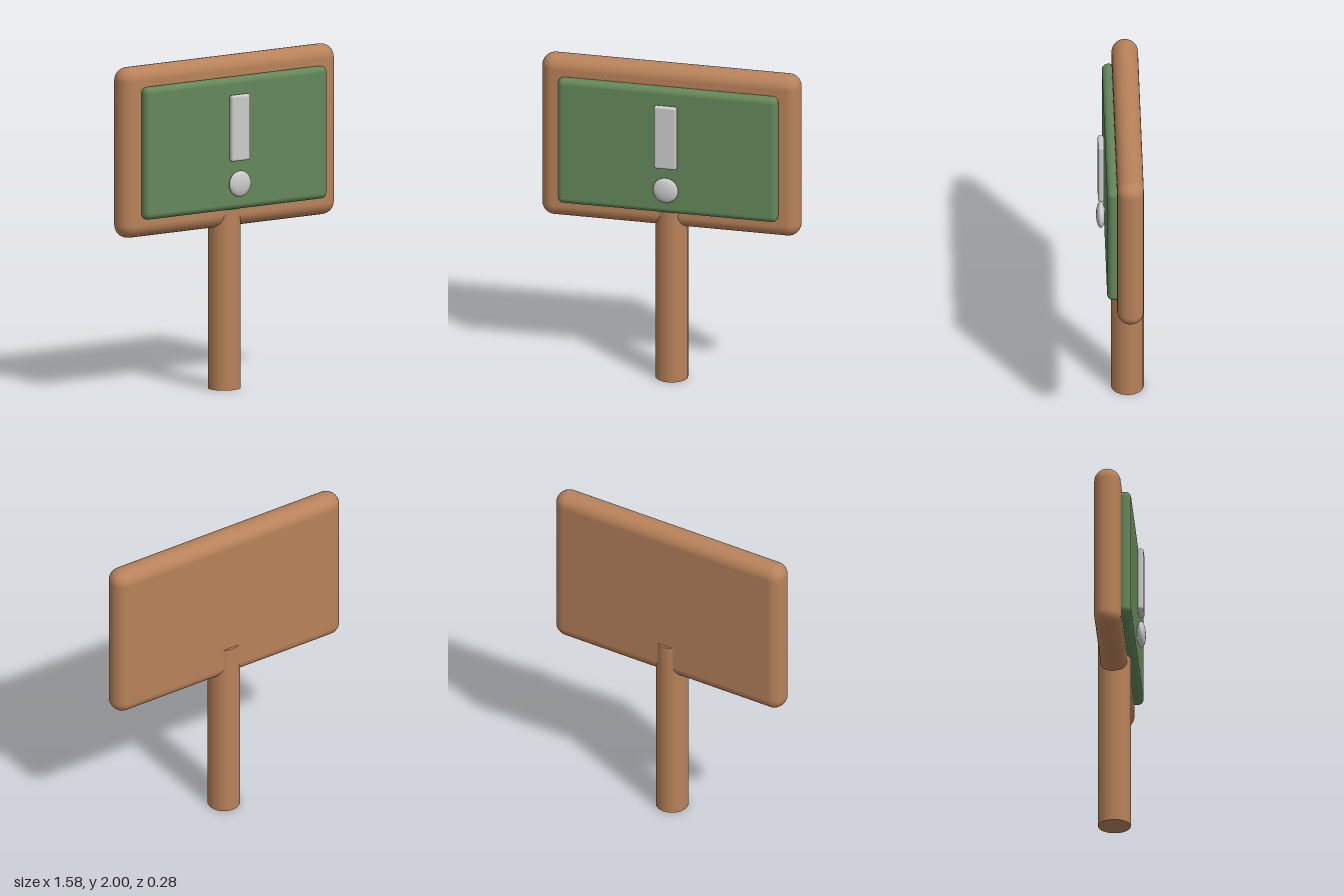
import * as THREE from 'three';
import { RoundedBoxGeometry } from 'three/addons/geometries/RoundedBoxGeometry.js';

export function createModel() {
  const group = new THREE.Group();
  const wood = new THREE.MeshStandardMaterial({ color: 0xb8825a });
  const green = new THREE.MeshStandardMaterial({ color: 0x64875a });
  const grey = new THREE.MeshStandardMaterial({ color: 0xcccccc });

  const add = (name, geometry, material, x, y, z) => {
    const mesh = new THREE.Mesh(geometry, material);
    mesh.name = name;
    mesh.position.set(x, y, z);
    group.add(mesh);
    return mesh;
  };

  // Rounded slab given by its width, bottom, top, back and front
  const slab = (name, material, width, y0, y1, z0, z1, radius, segments) =>
    add(name, new RoundedBoxGeometry(width, y1 - y0, z1 - z0, segments, radius),
      material, 0, (y0 + y1) / 2, (z0 + z1) / 2);

  // Round post, its top sunk into the board
  add('post', new THREE.CylinderGeometry(0.098, 0.098, 1.19, 16), wood, 0, 0.595, -0.042);

  // Wooden board with fully rounded rim, and the green panel on its front
  slab('board', wood, 1.58, 0.975, 2, -0.122, 0.036, 0.078, 4);
  slab('panel', green, 1.344, 1.09, 1.886, 0.016, 0.094, 0.036, 4);

  // Raised marker: upright bar above a flattened dot
  slab('markerBar', grey, 0.138, 1.388, 1.786, 0.097, 0.134, 0.014, 3);
  const dot = add('markerDot', new THREE.SphereGeometry(0.078, 24, 16), grey, 0, 1.25, 0.117);
  dot.scale.z = 0.35;

  return group;
}
